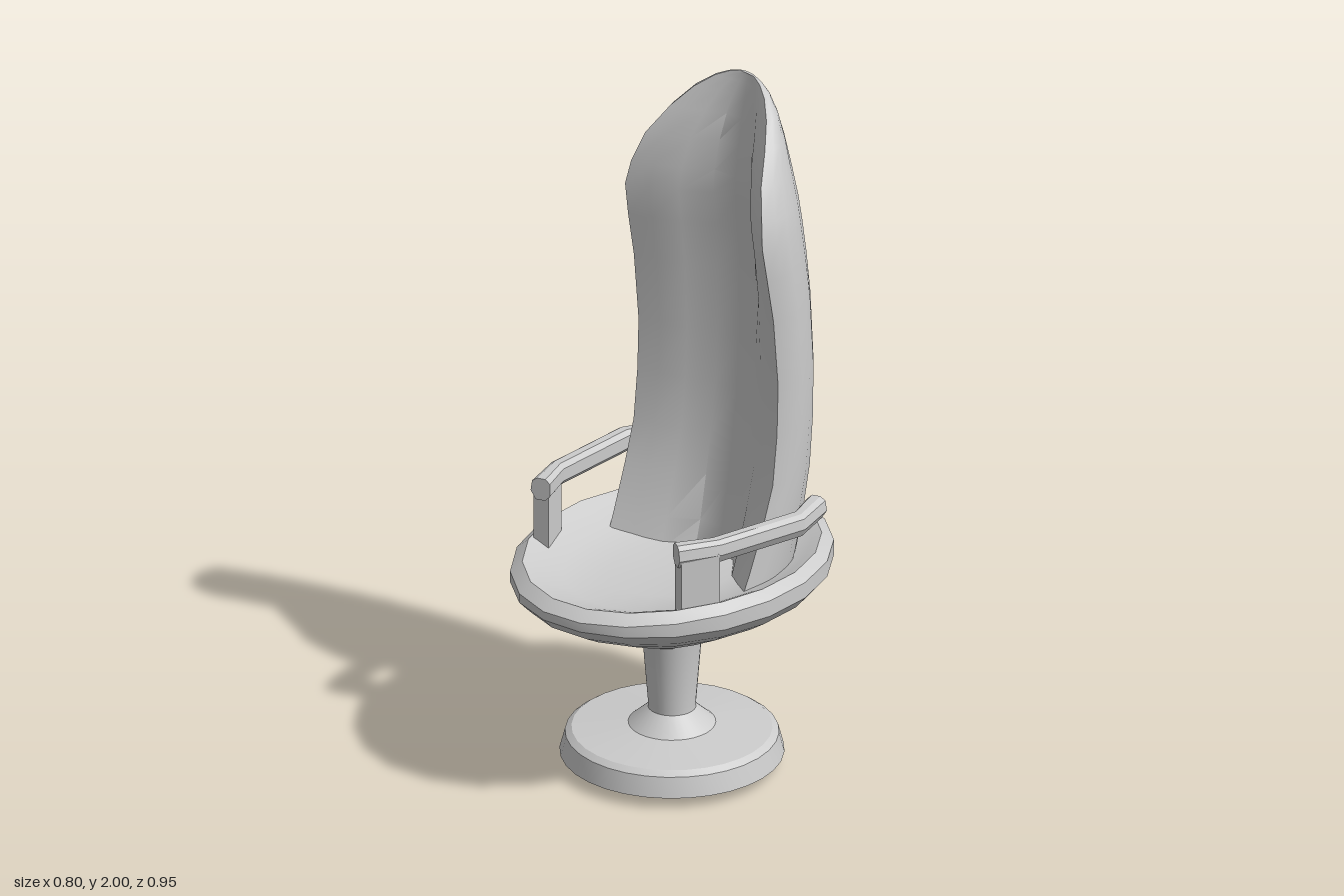
import * as THREE from 'three';
import { toCreasedNormals } from 'three/addons/utils/BufferGeometryUtils.js';

const material = new THREE.MeshStandardMaterial({ color: 0xcccccc, side: THREE.DoubleSide });

function addMesh(parent, name, geometry, crease = 0.6) {
  const mesh = new THREE.Mesh(toCreasedNormals(geometry, crease), material);
  mesh.name = name;
  parent.add(mesh);
  return mesh;
}

// Skin a row of closed rings (counter-clockwise about the travel direction) and cap both ends.
function loft(rings) {
  const n = rings[0].length;
  const index = [];
  for (let r = 0; r < rings.length - 1; r++) {
    for (let i = 0; i < n; i++) {
      const j = (i + 1) % n;
      const a = r * n + i, b = r * n + j, c = b + n, d = a + n;
      index.push(a, b, c, a, c, d);
    }
  }
  const end = (rings.length - 1) * n;
  for (let i = 1; i < n - 1; i++) {
    index.push(0, i + 1, i, end, end + i, end + i + 1);
  }
  const geometry = new THREE.BufferGeometry();
  geometry.setAttribute('position', new THREE.Float32BufferAttribute(rings.flat(2), 3));
  geometry.setIndex(index);
  return geometry;
}

function lathe(profile, segments) {
  return new THREE.LatheGeometry(profile.map(([r, y]) => new THREE.Vector2(r, y)), segments);
}

// Crescent cross-section of the backrest
function backRing([y, w, front, centre, back]) {
  const ring = [];
  const side = front - 0.15 * (front - back);
  const steps = 16;
  for (let i = 0; i <= steps; i++) {
    const t = Math.PI / 2 - (Math.PI * i) / steps;
    ring.push([w * Math.sin(t), y, back + (side - back) * (1 - Math.cos(t))]);
  }
  const inner = [[0.95, 1], [0.75, 0.78], [0.5, 0.5], [0.26, 0.08]];
  const point = (s, [u, k]) => [s * u * w, y, centre + (front - centre) * k];
  for (const p of inner) ring.push(point(-1, p));
  ring.push([0, y, centre]);
  for (const p of [...inner].reverse()) ring.push(point(1, p));
  return ring;
}

function createArm(side) {
  const arm = new THREE.Group();
  arm.name = side > 0 ? 'leftArmrest' : 'rightArmrest';
  const place = rings => rings.map(ring => {
    const placed = ring.map(([x, y, z]) => [side * x, y, z]);
    return side > 0 ? placed : placed.reverse();
  });

  // Bevelled rail bent outward around the seat
  const path = [[0.31, -0.255], [0.357, -0.145], [0.324, 0.13], [0.277, 0.235]];
  const section = [[-0.026, 0.785], [-0.014, 0.77], [0.012, 0.77], [0.026, 0.795],
    [0.022, 0.825], [0.008, 0.835], [-0.014, 0.835], [-0.026, 0.822]];
  const rail = path.map(([x, z], i) => {
    const slant = i === 0 ? 0.012 : i === 3 ? -0.012 : 0;
    return section.map(([dx, y]) => [x + dx, y, z + slant * -dx / 0.026]);
  });
  addMesh(arm, 'armRail', loft(place(rail)), 0.3);

  // Flat post under the front end of the rail
  const post = [0.57, 0.8].map(y => [
    [0.302, y, 0.238], [0.347, y, 0.137], [0.305, y, 0.132], [0.257, y, 0.222],
  ]);
  addMesh(arm, 'armPost', loft(place(post)), 0.3);
  return arm;
}

export function createModel() {
  const model = new THREE.Group();
  model.name = 'chair';

  // Round foot with shallow conical underside, and flared stem
  addMesh(model, 'foot', lathe([
    [0, 0.003], [0.308, 0.035], [0.293, 0.092], [0.275, 0.105], [0.12, 0.12],
    [0.066, 0.168], [0.066, 0.185], [0.08, 0.36], [0.085, 0.4],
  ], 32), 0.5);

  // Oval dish seat: stretched along z, its rim dipping at the front
  const seat = lathe([
    [0, 0.365], [0.06, 0.368], [0.09, 0.39], [0.16, 0.425], [0.24, 0.47], [0.32, 0.515],
    [0.372, 0.55], [0.4, 0.585], [0.4, 0.632], [0.37, 0.657], [0.345, 0.645],
    [0.27, 0.605], [0.16, 0.585], [0, 0.58],
  ], 20);
  const p = seat.attributes.position;
  for (let i = 0; i < p.count; i++) {
    const z = p.getZ(i) * 1.1875;
    p.setZ(i, z);
    if (p.getY(i) > 0.6 && z > 0) p.setY(i, p.getY(i) - 0.022 * (z / 0.475) ** 2);
  }
  addMesh(model, 'seat', seat, 0.5);

  // Tall wrapped backrest: height, half width, front edge, inner centre, back
  const sections = [
    [0.56, 0.285, 0.0, -0.165, -0.335],
    [0.65, 0.29, -0.035, -0.185, -0.357],
    [0.78, 0.295, -0.08, -0.205, -0.375],
    [0.9, 0.298, -0.115, -0.222, -0.386],
    [1.05, 0.299, -0.13, -0.238, -0.395],
    [1.2, 0.299, -0.134, -0.247, -0.395],
    [1.4, 0.299, -0.117, -0.25, -0.386],
    [1.53, 0.298, -0.095, -0.245, -0.374],
    [1.63, 0.294, -0.08, -0.235, -0.362],
    [1.7, 0.28, -0.09, -0.235, -0.352],
    [1.79, 0.248, -0.115, -0.245, -0.337],
    [1.87, 0.203, -0.168, -0.257, -0.322],
    [1.93, 0.155, -0.215, -0.268, -0.311],
    [1.97, 0.105, -0.25, -0.276, -0.302],
    [1.99, 0.065, -0.268, -0.281, -0.294],
    [2.0, 0.03, -0.278, -0.283, -0.288],
  ];
  addMesh(model, 'backrest', loft(sections.map(backRing)), 0.6);

  model.add(createArm(1), createArm(-1));
  return model;
}
